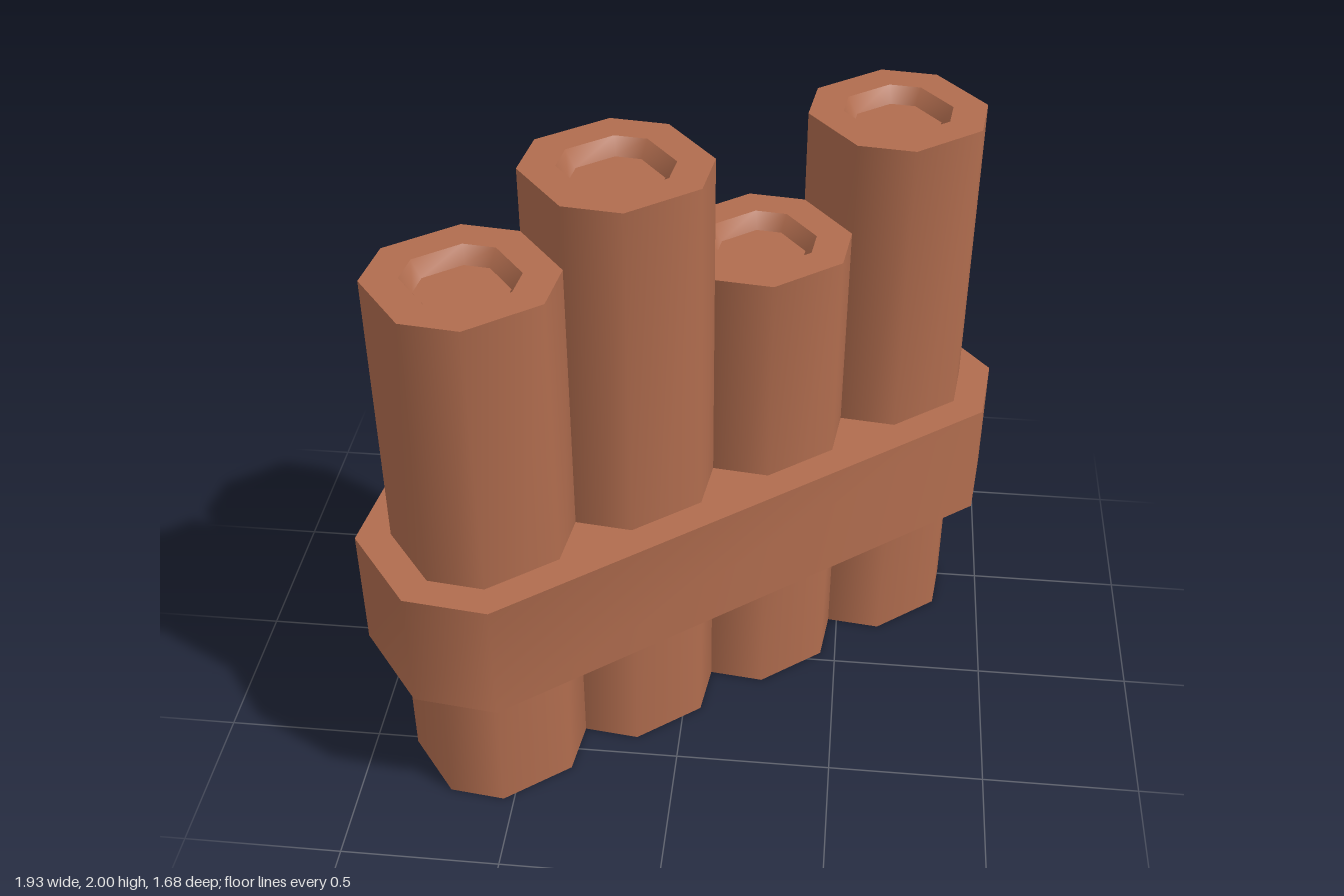
import * as THREE from 'three';
import { toCreasedNormals } from 'three/addons/utils/BufferGeometryUtils.js';

// Chamfered rectangle at height y, half sizes a (x) and b (z), corner cut c
function octagon(a, b, c, y) {
  return [
    [a, -b + c], [a, b - c], [a - c, b], [-a + c, b],
    [-a, b - c], [-a, -b + c], [-a + c, -b], [a - c, -b],
  ].map(([x, z]) => [x, y, z]);
}

// Joins octagon sections from bottom to top and caps both ends
function loft(sections) {
  const pos = [];
  const tri = (...pts) => pts.forEach((p) => pos.push(...p));
  for (let i = 0; i < sections.length - 1; i++) {
    const lo = sections[i], hi = sections[i + 1];
    for (let j = 0; j < 8; j++) {
      const k = (j + 1) % 8;
      tri(lo[j], hi[j], lo[k]);
      tri(lo[k], hi[j], hi[k]);
    }
  }
  const first = sections[0], last = sections[sections.length - 1];
  for (let j = 1; j < 7; j++) {
    tri(first[0], first[j], first[j + 1]);
    tri(last[0], last[j + 1], last[j]);
  }
  const geometry = new THREE.BufferGeometry();
  geometry.setAttribute('position', new THREE.Float32BufferAttribute(pos, 3));
  return toCreasedNormals(geometry, 0.88);
}

export function createModel() {
  const clay = new THREE.MeshStandardMaterial({ color: 0xb06c4e });
  clay.name = 'terracotta';

  const model = new THREE.Group();
  model.name = 'pipeBundle';
  const row = new THREE.Group();
  row.name = 'pipeRow';
  row.rotation.y = 0.666;
  model.add(row);

  const add = (name, sections, x = 0) => {
    const mesh = new THREE.Mesh(loft(sections), clay);
    mesh.name = name;
    mesh.position.x = x;
    row.add(mesh);
  };

  // Four pipes of different heights, each with a shallow tapered mouth
  [1.8, 2.0, 1.6, 1.9].forEach((h, i) => add(`pipe${i + 1}`, [
    octagon(0.25, 0.25, 0.125, 0),
    octagon(0.25, 0.25, 0.125, h),
    octagon(0.15, 0.15, 0.07, h),
    octagon(0.12, 0.12, 0.055, h - 0.05),
  ], -0.75 + i * 0.5));

  // Band that holds the pipes together
  add('band', [octagon(1.1, 0.35, 0.185, 0.5), octagon(1.1, 0.35, 0.185, 0.9)]);

  return model;
}
